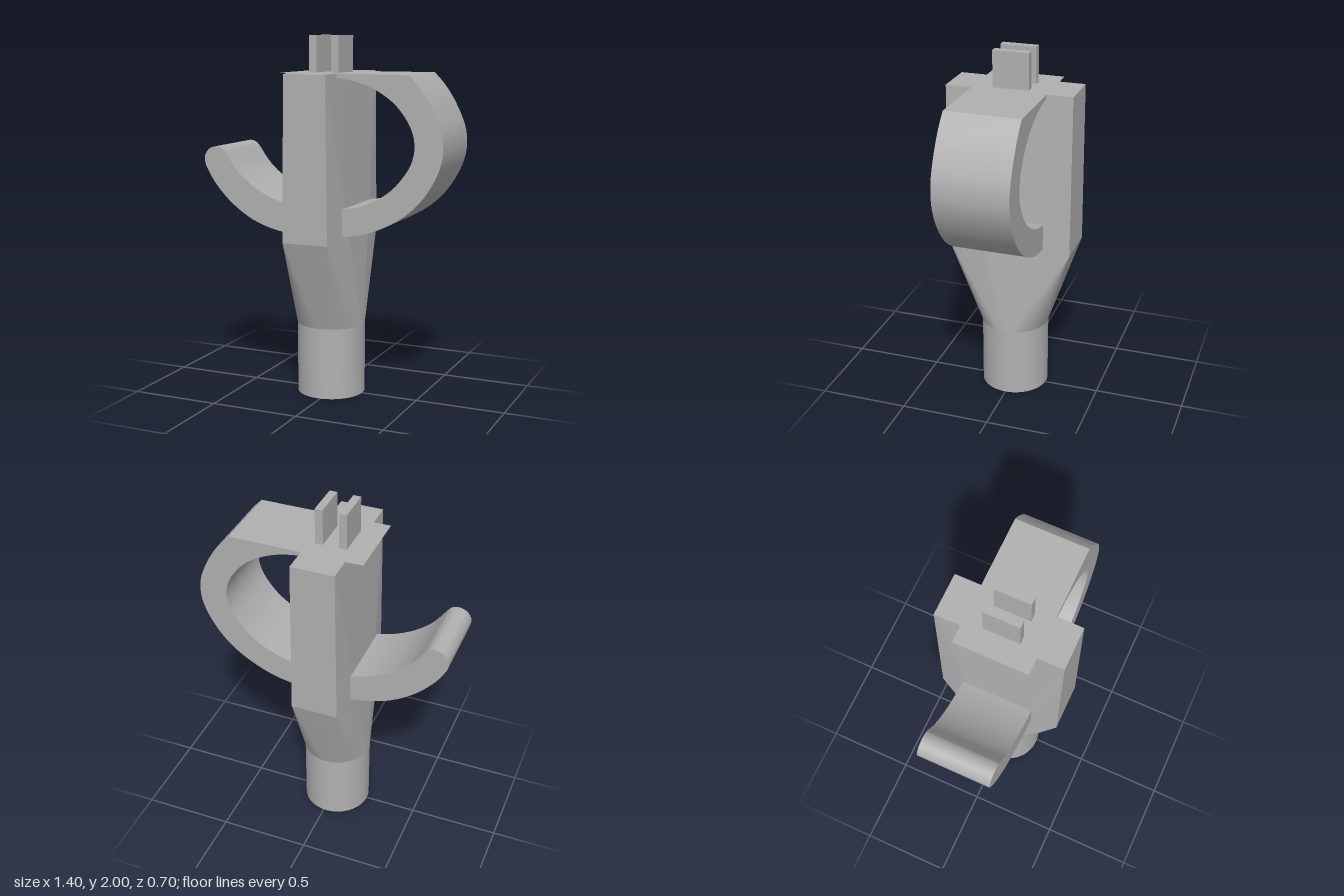
import * as THREE from 'three';
import { toCreasedNormals } from 'three/addons/utils/BufferGeometryUtils.js';
import { ConvexGeometry } from 'three/addons/geometries/ConvexGeometry.js';

const CX = -0.015; // axis of the post and body

export function createModel() {
  const group = new THREE.Group();
  const grey = new THREE.MeshStandardMaterial({ color: 0xb0b0b0 });
  grey.name = 'plain grey';

  const add = (name, geometry, x = 0, y = 0, z = 0) => {
    const mesh = new THREE.Mesh(geometry, grey);
    mesh.name = name;
    mesh.position.set(x, y, z);
    group.add(mesh);
  };
  const v2 = (x, y) => new THREE.Vector2(x, y);

  // Round post with a threaded socket in its underside
  const profile = [v2(0, 0.36), v2(0.115, 0.36)];
  for (let i = 0; i < 14; i++) {
    const y = 0.34 - i * 0.021;
    profile.push(v2(0.13, y), v2(0.115, y - 0.0105));
  }
  profile.push(v2(0.135, 0.045), v2(0.135, 0), v2(0.19, 0), v2(0.19, 0.4));
  add('threadedPost', toCreasedNormals(new THREE.LatheGeometry(profile, 64), 0.4), CX);

  // Body: round foot blending into a tall rectangular slab
  const hull = [];
  for (let i = 0; i < 96; i++) {
    const a = (i / 96) * Math.PI * 2;
    hull.push(new THREE.Vector3(0.19 * Math.cos(a), 0.4, 0.19 * Math.sin(a)));
  }
  for (const [y, hx] of [[0.9, 0.131], [0.99, 0.122], [1.8, 0.12]]) {
    for (const sx of [-1, 1]) {
      for (const sz of [-1, 1]) hull.push(new THREE.Vector3(sx * hx, y, sz * 0.35));
    }
  }
  add('body', toCreasedNormals(new ConvexGeometry(hull), 0.09), CX);

  // Curled band: closed loop on the left, open hook on the right
  const band = new THREE.Shape();
  band.moveTo(-0.23, 1.8);
  band.splineThru([ // inner edge
    [-0.135, 1.794], [0, 1.787], [0.103, 1.778], [0.22, 1.759], [0.325, 1.72], [0.42, 1.66],
    [0.487, 1.587], [0.53, 1.51], [0.545, 1.43], [0.53, 1.35], [0.487, 1.275], [0.42, 1.2],
    [0.325, 1.135], [0.22, 1.094], [0.103, 1.076], [-0.015, 1.068], [-0.135, 1.078],
    [-0.27, 1.112], [-0.39, 1.17], [-0.49, 1.25], [-0.563, 1.345],
  ].map((p) => v2(...p)));
  band.splineThru([ // rounded tip
    [-0.59, 1.375], [-0.63, 1.386], [-0.675, 1.37], [-0.702, 1.325], [-0.695, 1.275],
  ].map((p) => v2(...p)));
  band.splineThru([ // outer edge
    [-0.635, 1.18], [-0.54, 1.08], [-0.415, 0.995], [-0.28, 0.945], [-0.135, 0.923],
    [-0.015, 0.918], [0.103, 0.925], [0.29, 0.96], [0.457, 1.04], [0.57, 1.135],
    [0.645, 1.24], [0.688, 1.34], [0.7, 1.43], [0.685, 1.525], [0.63, 1.645],
    [0.57, 1.735], [0.51, 1.8],
  ].map((p) => v2(...p)));
  band.lineTo(-0.23, 1.8);
  const bandGeometry = new THREE.ExtrudeGeometry(band, {
    depth: 0.41, bevelEnabled: false, curveSegments: 4,
  });
  add('curledBand', toCreasedNormals(bandGeometry, 0.4), 0, 0, -0.205);

  // Pair of flat prongs on top
  for (const [name, x] of [['rightProng', -0.08], ['leftProng', 0.05]]) {
    add(name, new THREE.BoxGeometry(0.043, 0.2, 0.2), x, 1.9, 0);
  }
  return group;
}
